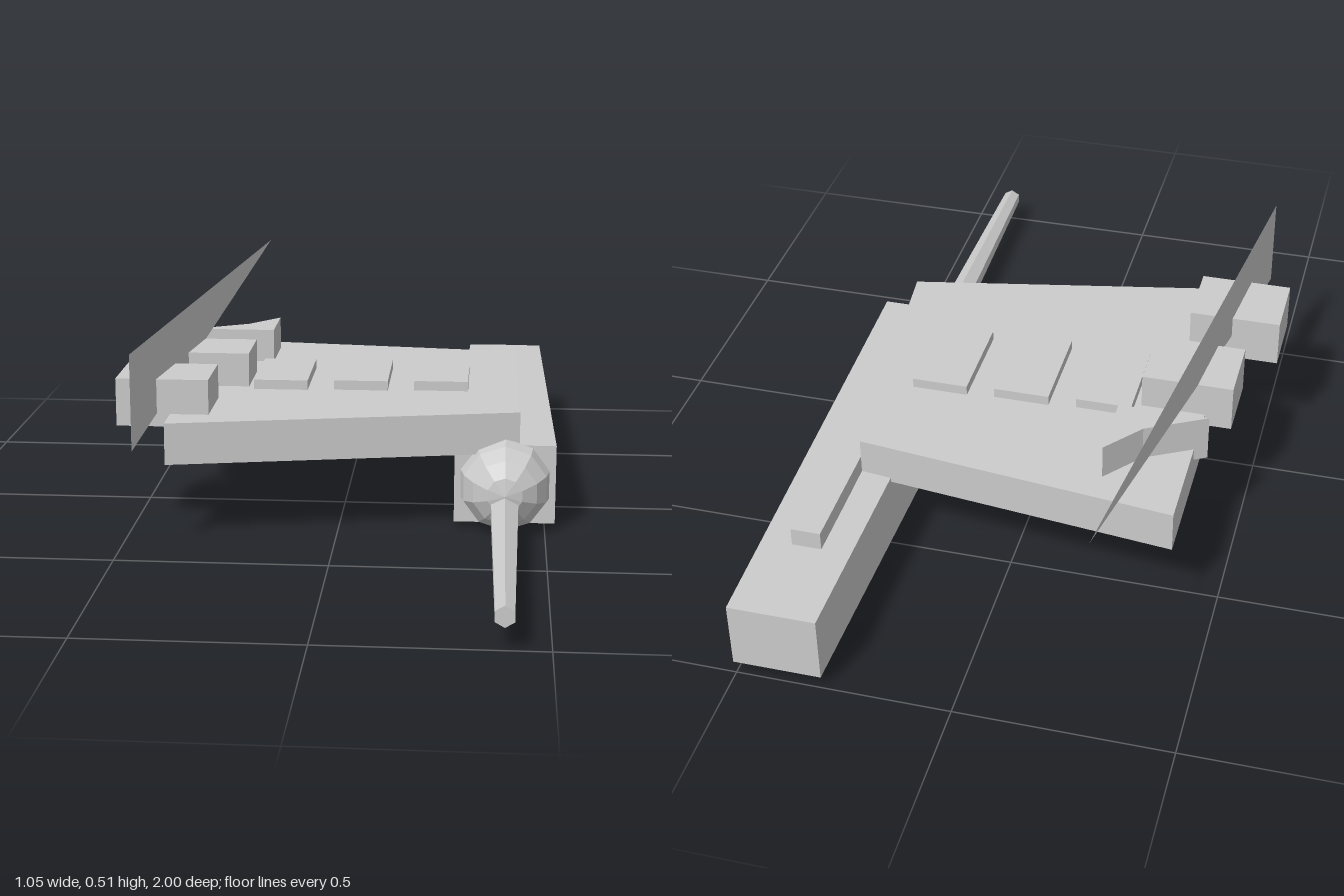
import * as THREE from 'three';

const material = new THREE.MeshStandardMaterial({ color: 0xcccccc, flatShading: true });
const thinMaterial = new THREE.MeshStandardMaterial({ color: 0xcccccc, flatShading: true, side: THREE.DoubleSide });

export function createModel() {
  const model = new THREE.Group();

  const add = (name, geometry, mat = material) => {
    const mesh = new THREE.Mesh(geometry, mat);
    mesh.name = name;
    model.add(mesh);
    return mesh;
  };

  // Box given by its limits on each axis
  const addBox = (name, [x0, x1], [y0, y1], [z0, z1]) =>
    add(name, new THREE.BoxGeometry(x1 - x0, y1 - y0, z1 - z0))
      .position.set((x0 + x1) / 2, (y0 + y1) / 2, (z0 + z1) / 2);

  // Prism from a plan outline of [x, z] points
  const addSlab = (name, plan, y0, y1) => {
    const shape = new THREE.Shape(plan.map(([x, z]) => new THREE.Vector2(x, -z)));
    const geometry = new THREE.ExtrudeGeometry(shape, { depth: y1 - y0, bevelEnabled: false });
    add(name, geometry.rotateX(-Math.PI / 2).translate(0, y0, 0));
  };

  // Long side hull, narrowing slightly to the rear
  const hull = new THREE.BoxGeometry(0.245, 0.195, 1.19);
  const p = hull.attributes.position;
  for (let i = 0; i < p.count; i++) {
    if (p.getZ(i) < 0) p.setXY(i, p.getX(i) * 0.84, p.getY(i) * 0.84);
  }
  hull.translate(0.402, 0.118, -0.405);
  add('hull', hull);

  // Raised strip along the hull top
  addBox('hullStrip', [0.365, 0.435], [0.205, 0.25], [-0.775, -0.035]);

  // Faceted half-dome nose
  const nose = new THREE.SphereGeometry(0.113, 10, 4, 0, Math.PI * 2, 0, Math.PI / 2);
  nose.rotateY(Math.PI / 2).rotateX(Math.PI / 2).translate(0.402, 0.118, 0.187);
  add('nose', nose, thinMaterial);

  // Tapered six-sided barrel
  const barrel = new THREE.CylinderGeometry(0.024, 0.039, 0.8, 6);
  barrel.rotateX(Math.PI / 2).translate(0.402, 0.078, 0.6);
  add('barrel', barrel);

  // Flat deck spreading to one side
  addSlab('deck', [[-0.4, -0.575], [-0.4, 0.355], [0.436, 0.185], [0.365, -0.49]], 0.195, 0.296);

  // Row of shallow deck panels
  for (let i = 0; i < 3; i++) {
    const x = -0.23 + i * 0.201;
    const z = -0.24 - i * 0.008;
    addBox('deckPanel', [x, x + 0.135], [0.285, 0.32], [z, z + 0.238]);
  }

  // Edge blocks, the rear one notched at its outer corner
  addBox('frontBlock', [-0.53, -0.307], [0.265, 0.381], [0.095, 0.265]);
  addBox('middleBlock', [-0.465, -0.246], [0.265, 0.381], [-0.195, -0.027]);
  addSlab('rearBlock', [[-0.43, -0.315], [-0.215, -0.315], [-0.215, -0.48], [-0.29, -0.39]], 0.265, 0.381);

  // Thin triangular blade over the edge blocks
  const blade = new THREE.BufferGeometry();
  blade.setAttribute('position', new THREE.Float32BufferAttribute([
    -0.455, 0.26, 0.475,
    -0.295, 0.516, -0.955,
    -0.455, 0.488, 0.475,
  ], 3));
  blade.computeVertexNormals();
  add('blade', blade, thinMaterial);

  return model;
}
